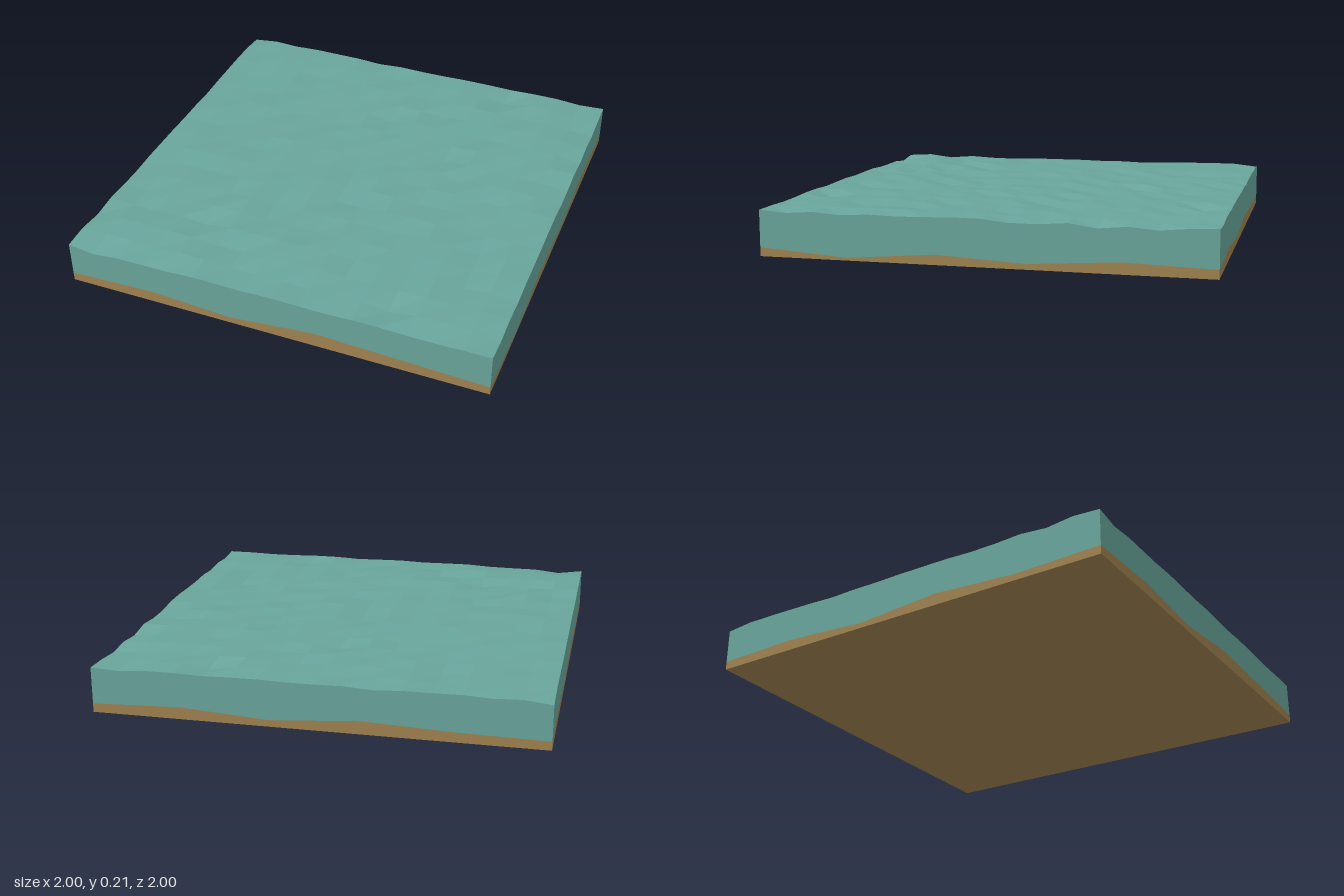
import * as THREE from 'three';

const N = 16;
const water = new THREE.MeshStandardMaterial({ color: 0x69a59c, flatShading: true });
const sand = new THREE.MeshStandardMaterial({ color: 0xa08250, flatShading: true });

// Wave heights along the front edge (x from -1 to 1) and right edge (z from -1 to 1)
const frontEdge = [.206, .188, .2, .2, .201, .207, .206, .204, .208, .206, .203, .208, .208, .204, .203, .206, .206];
const rightEdge = [.207, .202, .19, .2, .188, .205, .195, .195, .207, .208, .204, .202, .205, .197, .206, .197, .206];
// Single deep ripples: column, row, height
const dips = [[12, 15, .19], [4, 13, .193], [12, 1, .192], [8, 4, .194]];

// Sand heights along each side, left to right as seen from outside
const sandProfiles = {
  front: [.04, .055, .03, .07, .055, .04],
  right: [.04, .012, .045, .025, .052, .04],
  back: [.04, .055, .03, .06, .045, .04],
  left: [.04, .05, .025, .055, .03, .04],
};

function seeded(seed) {
  return () => {
    seed = (seed * 16807) % 2147483647;
    return seed / 2147483647;
  };
}

// Linear interpolation in an evenly spaced list, t from 0 to 1
function sample(list, t) {
  const p = t * (list.length - 1);
  const i = Math.min(Math.floor(p + 1e-6), list.length - 2);
  return THREE.MathUtils.lerp(list[i], list[i + 1], p - i);
}

function waveHeights() {
  const random = seeded(4127);
  const h = [];
  for (let r = 0; r <= N; r++) {
    h.push([]);
    for (let c = 0; c <= N; c++) h[r].push(.196 + .018 * Math.sqrt(random()));
  }
  for (let i = 0; i <= N; i++) {
    h[i][N] = rightEdge[i];
    h[N][i] = frontEdge[i];
  }
  for (const [c, r, y] of dips) h[r][c] = y;
  return h;
}

// Upright strip between two profiles; place(t) gives the x and z of a column
function wall(name, low, high, place, material) {
  const columns = [];
  for (let i = 0; i <= 80; i++) if (i % 5 === 0 || i % 16 === 0) columns.push(i / 80);
  const positions = [], index = [];
  columns.forEach((t, i) => {
    const [x, z] = place(t);
    positions.push(x, sample(low, t), z, x, sample(high, t), z);
    if (i) {
      const a = 2 * i - 2;
      index.push(a, a + 2, a + 3, a, a + 3, a + 1);
    }
  });
  const geometry = new THREE.BufferGeometry();
  geometry.setAttribute('position', new THREE.Float32BufferAttribute(positions, 3));
  geometry.setIndex(index);
  geometry.computeVertexNormals();
  const mesh = new THREE.Mesh(geometry, material);
  mesh.name = name;
  return mesh;
}

export function createModel() {
  const group = new THREE.Group();
  group.name = 'waterTile';
  const h = waveHeights();

  // Faceted water surface
  const surface = new THREE.PlaneGeometry(2, 2, N, N).rotateX(-Math.PI / 2);
  const pos = surface.attributes.position;
  for (let i = 0; i < pos.count; i++) pos.setY(i, h[Math.floor(i / (N + 1))][i % (N + 1)]);
  surface.computeVertexNormals();
  const top = new THREE.Mesh(surface, water);
  top.name = 'waterSurface';
  group.add(top);

  // Water and sand layers on the four sides
  const sides = [
    ['front', h[N], t => [2 * t - 1, 1]],
    ['right', h.map(row => row[N]).reverse(), t => [1, 1 - 2 * t]],
    ['back', [...h[0]].reverse(), t => [1 - 2 * t, -1]],
    ['left', h.map(row => row[0]), t => [-1, 2 * t - 1]],
  ];
  for (const [side, edge, place] of sides) {
    const profile = sandProfiles[side];
    group.add(wall(side + 'Water', profile, edge, place, water));
    group.add(wall(side + 'Sand', [0, 0], profile, place, sand));
  }

  // Flat underside
  const base = new THREE.Mesh(new THREE.PlaneGeometry(2, 2).rotateX(Math.PI / 2), sand);
  base.name = 'sandBase';
  group.add(base);
  return group;
}
